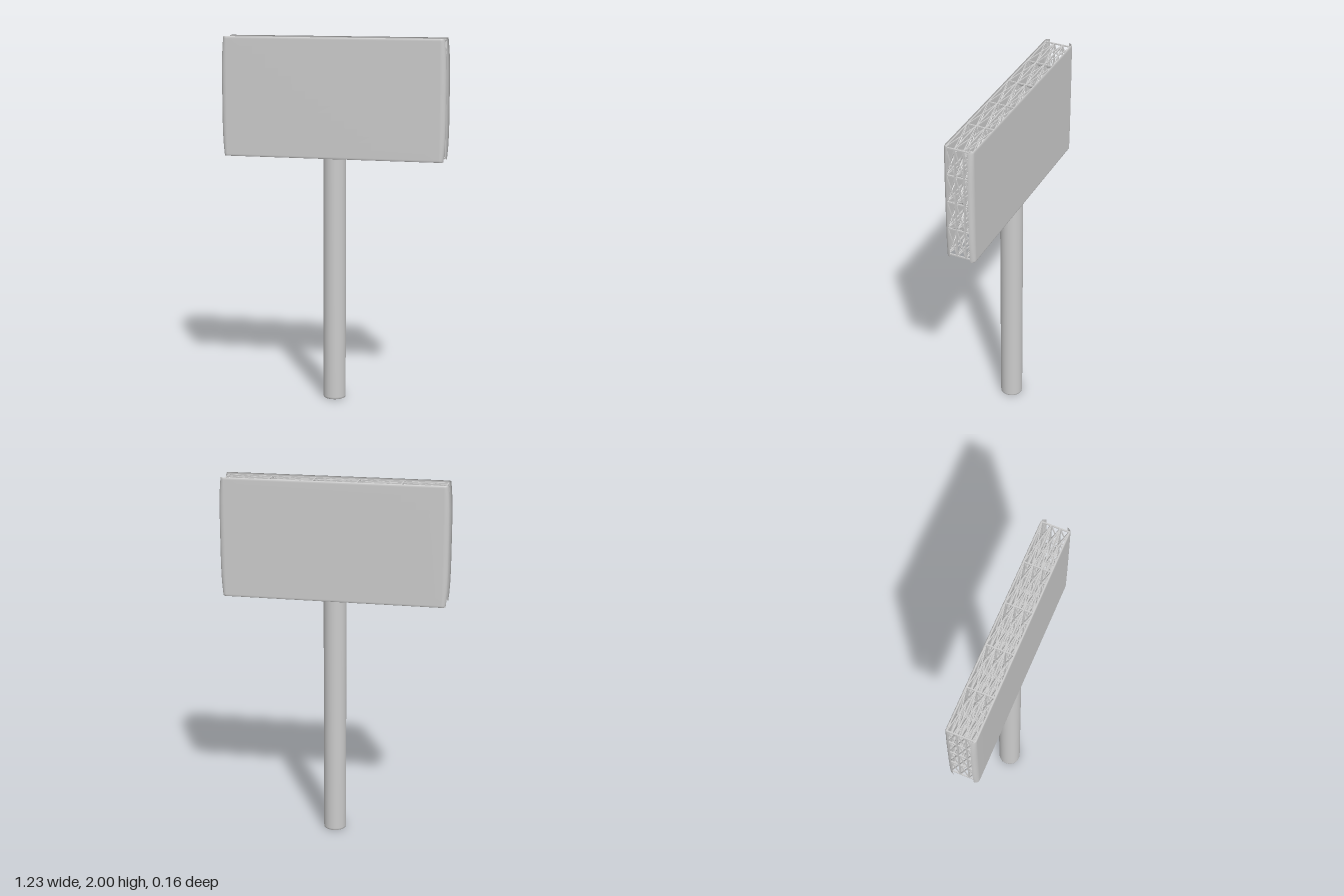
import * as THREE from 'three';
import { mergeGeometries } from 'three/addons/utils/BufferGeometryUtils.js';

const grey = new THREE.MeshStandardMaterial({ color: 0xcccccc });
const sheetGrey = new THREE.MeshStandardMaterial({ color: 0xcccccc, side: THREE.DoubleSide });
const Z = new THREE.Vector3(0, 0, 1);

// square bar between two points
function bar(a, b, thick) {
  const dir = b.clone().sub(a);
  const g = new THREE.BoxGeometry(thick, thick, dir.length() + thick * 0.5);
  g.applyQuaternion(new THREE.Quaternion().setFromUnitVectors(Z, dir.normalize()));
  const mid = a.clone().add(b).multiplyScalar(0.5);
  return g.translate(mid.x, mid.y, mid.z);
}

// space frame of 5 x 4 x 3 cells with crossed diagonals on every cell face
function trussGeometry() {
  const n = [5, 4, 3], min = [-0.592, 1.358, -0.073], max = [0.592, 1.986, 0.073];
  const node = (c) => new THREE.Vector3(
    ...c.map((v, k) => min[k] + (max[k] - min[k]) * v / n[k]));
  const step = (c, ...axes) => c.map((v, k) => v + (axes.includes(k) ? 1 : 0));
  const bars = [];
  for (let i = 0; i <= n[0]; i++)
    for (let j = 0; j <= n[1]; j++)
      for (let k = 0; k <= n[2]; k++) {
        const c = [i, j, k];
        for (let a = 0; a < 3; a++) {
          if (c[a] === n[a]) continue;
          bars.push(bar(node(c), node(step(c, a)), 0.007));
          const b = (a + 1) % 3;
          if (c[b] === n[b]) continue;
          bars.push(bar(node(c), node(step(c, a, b)), 0.005));
          bars.push(bar(node(step(c, a)), node(step(c, b)), 0.005));
        }
      }
  return mergeGeometries(bars);
}

// stretched sheet: flat face, side edges curling back, bowed out at mid height
function sheetGeometry() {
  const g = new THREE.PlaneGeometry(2, 2, 32, 32);
  const p = g.attributes.position;
  for (let i = 0; i < p.count; i++) {
    const u = p.getX(i), v = p.getY(i);
    const curl = (t) => Math.max(0, Math.abs(t) - 0.5) * Math.PI;
    const flat = (t) => Math.max(-1, Math.min(1, t / 0.5));
    const a = curl(u), b = curl(v);
    const y = flat(v) * 0.312 + Math.sign(v) * 0.013 * Math.sin(b);
    const bow = 0.011 * (1 - (y / 0.325) ** 4);
    const x = flat(u) * 0.585 + Math.sign(u) * (0.021 + bow) * Math.sin(a);
    const z = 0.08 - 0.024 * (1 - Math.cos(a)) - 0.004 * (1 - Math.cos(b)) * Math.cos(a);
    p.setXYZ(i, x, 1.675 + y, z);
  }
  g.computeVertexNormals();
  return g;
}

export function createModel() {
  const model = new THREE.Group();
  const add = (name, geometry, material) => {
    const mesh = new THREE.Mesh(geometry, material);
    mesh.name = name;
    model.add(mesh);
    return mesh;
  };

  // round post with softened rims
  const profile = [[0, 0], [0.056, 0], [0.061, 0.003], [0.062, 0.012],
    [0.062, 1.348], [0.061, 1.357], [0.056, 1.36], [0, 1.36]];
  add('post', new THREE.LatheGeometry(profile.map(([r, y]) => new THREE.Vector2(r, y)), 40), grey);

  add('trussFrame', trussGeometry(), grey);

  // matching display sheets on both sides
  const sheet = sheetGeometry();
  add('frontSheet', sheet, sheetGrey);
  add('backSheet', sheet, sheetGrey).rotation.y = Math.PI;

  return model;
}
